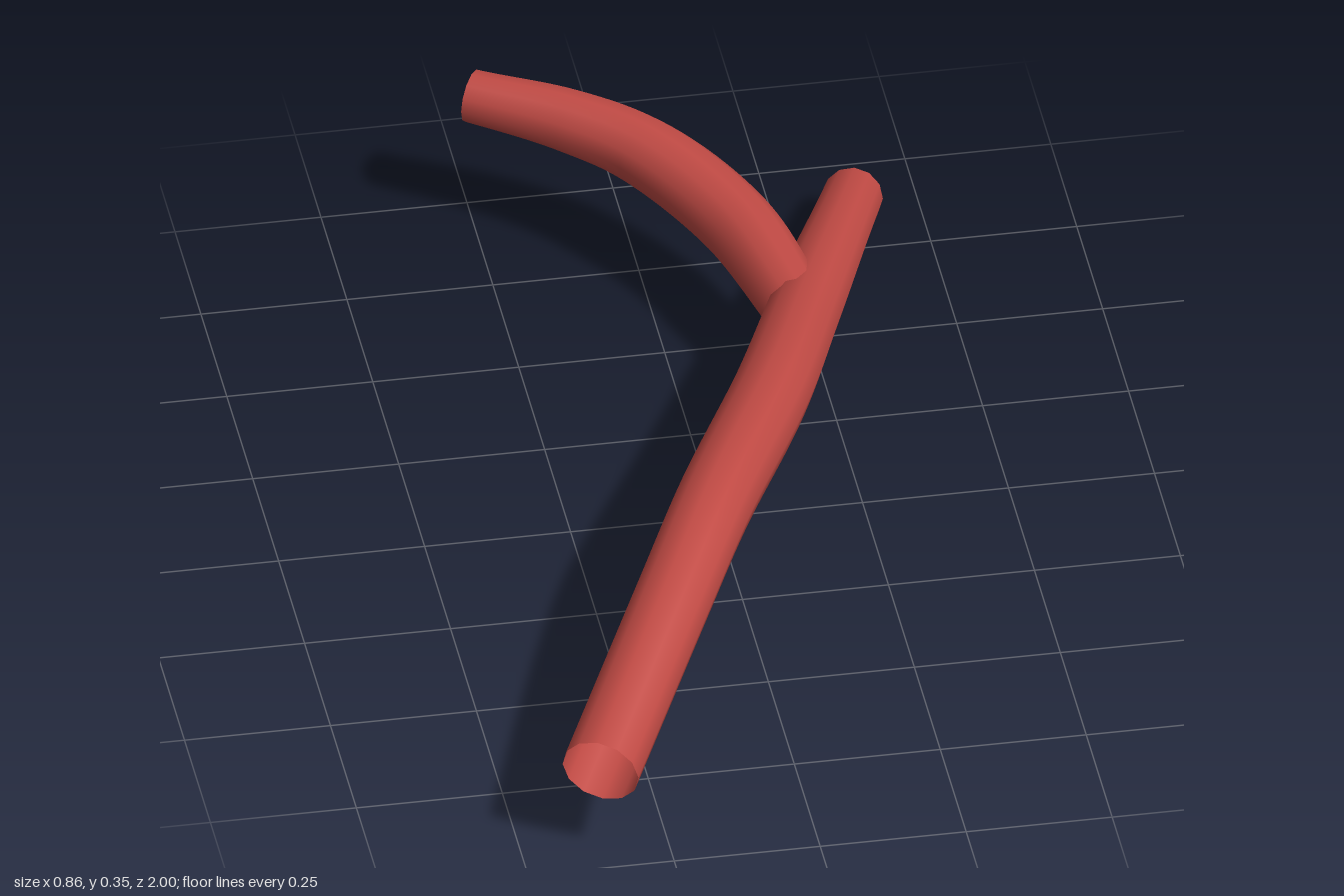
import * as THREE from 'three';

const SEGMENTS = 40, SIDES = 12;

// Open tube along a smooth path; radii are spaced evenly along its length
function taperedTube(name, points, radii, material) {
  const curve = new THREE.CatmullRomCurve3(points.map(p => new THREE.Vector3(...p)));
  const radius = new THREE.SplineCurve(radii.map((r, i) => new THREE.Vector2(i, r)));
  const geometry = new THREE.TubeGeometry(curve, SEGMENTS, 1, SIDES, false);
  const pos = geometry.attributes.position;
  const v = new THREE.Vector3();
  for (let i = 0; i < pos.count; i++) {
    const t = Math.floor(i / (SIDES + 1)) / SEGMENTS;
    const centre = curve.getPointAt(t);
    v.fromBufferAttribute(pos, i).sub(centre).multiplyScalar(radius.getPoint(t).y).add(centre);
    pos.setXYZ(i, v.x, v.y, v.z);
  }
  const mesh = new THREE.Mesh(geometry, material);
  mesh.name = name;
  return mesh;
}

export function createModel() {
  const group = new THREE.Group();
  group.name = 'forkedVessel';
  const red = new THREE.MeshStandardMaterial({ color: 0xc04a44, side: THREE.DoubleSide });
  red.name = 'vessel red';

  // Long arched trunk, front to back
  group.add(taperedTube('trunk', [
    [-0.37, 0.176, 0.965],
    [-0.18, 0.262, 0.6],
    [-0.075, 0.285, 0.38],
    [0.09, 0.236, 0],
    [0.222, 0.155, -0.38],
    [0.382, 0.051, -0.835],
  ], [0.067, 0.067, 0.068, 0.063, 0.051], red));

  // Side branch curling away from the trunk
  group.add(taperedTube('branch', [
    [0.203, 0.163, -0.355],
    [0.135, 0.193, -0.59],
    [0.015, 0.224, -0.775],
    [-0.1, 0.237, -0.872],
    [-0.25, 0.245, -0.962],
  ], [0.057, 0.063, 0.063, 0.056, 0.046], red));

  return group;
}
